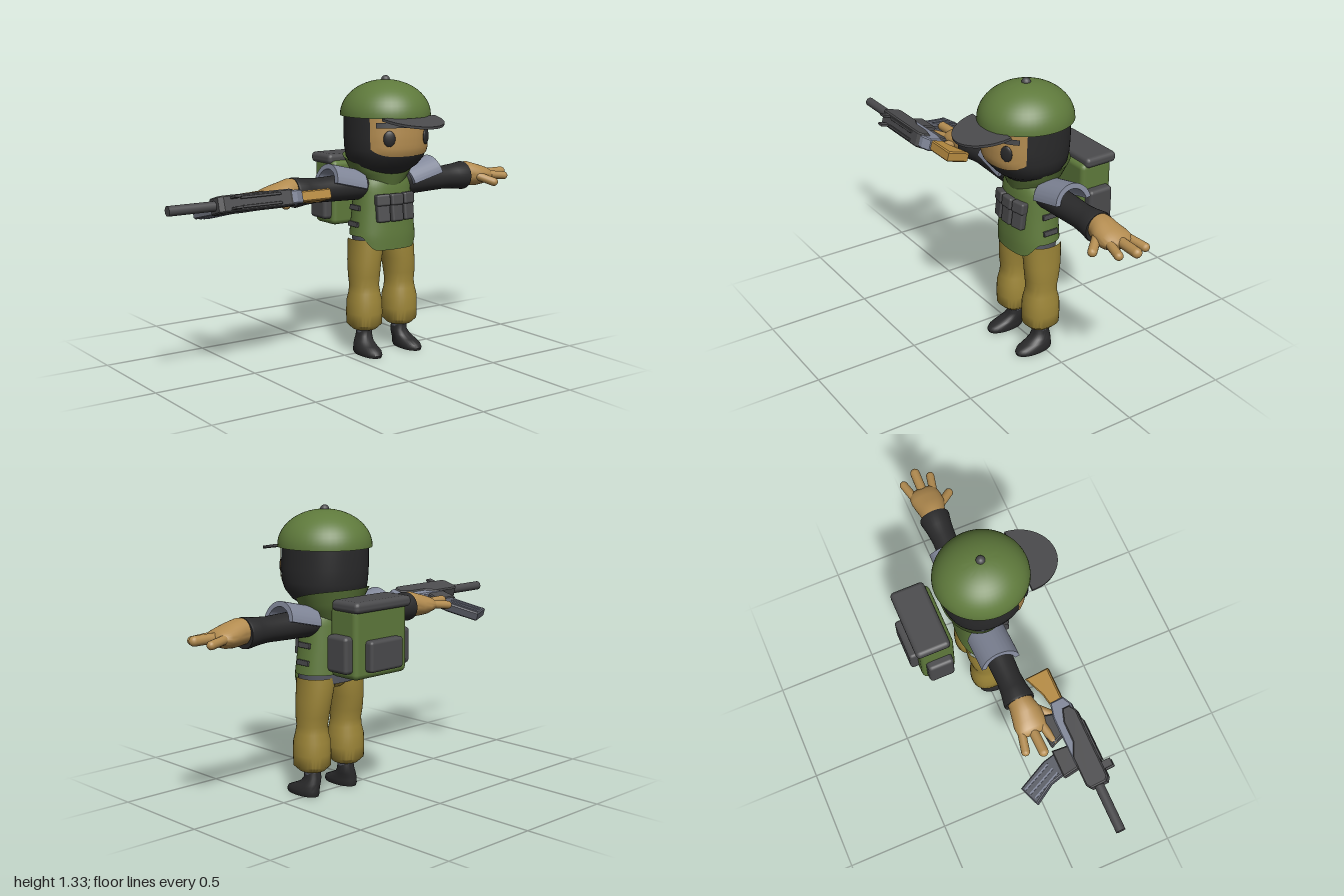
import * as THREE from 'three';
import { toCreasedNormals } from 'three/addons/utils/BufferGeometryUtils.js';
import { RoundedBoxGeometry } from 'three/addons/geometries/RoundedBoxGeometry.js';

const mat = (name, color) => Object.assign(new THREE.MeshStandardMaterial({ color }), { name });

// Surface from a rule fn(u, v) -> [x, y, z]
function grid(fn, nu, nv, crease = 0.8) {
  const pos = [], idx = [];
  for (let j = 0; j <= nv; j++) for (let i = 0; i <= nu; i++) pos.push(...fn(i / nu, j / nv));
  for (let j = 0; j < nv; j++) for (let i = 0; i < nu; i++) {
    const a = j * (nu + 1) + i, b = a + 1, c = a + nu + 1, d = c + 1;
    idx.push(a, b, d, a, d, c);
  }
  const g = new THREE.BufferGeometry();
  g.setAttribute('position', new THREE.Float32BufferAttribute(pos, 3));
  g.setIndex(idx);
  return toCreasedNormals(g, crease);
}

// Cross-section: [y, rx, rz, cz, cx]; angle 0 faces +z, p < 1 squares it off
const pw = (v, p) => Math.sign(v) * Math.abs(v) ** p;
function ring([y, rx, rz, cz = 0, cx = 0], t, p = 1, off = 0) {
  return [cx + (rx + off) * pw(Math.sin(t), p), y, cz + (rz + off) * pw(Math.cos(t), p)];
}
function at(secs, y) {
  let k = 0;
  while (k < secs.length - 2 && y > secs[k + 1][0]) k++;
  const a = secs[k], b = secs[k + 1], f = (y - a[0]) / (b[0] - a[0]);
  return [0, 1, 2, 3].map(n => n ? (a[n] || 0) + ((b[n] || 0) - (a[n] || 0)) * f : y);
}
const loft = (secs, p = 1, n = 32) => grid(
  (u, v) => ring(secs[Math.round(v * (secs.length - 1))], (u * 2 - 1) * Math.PI, p), n, secs.length - 1);
// Part of a lofted surface between two angles, with edges lo(t) and hi(t)
const patch = (secs, p, span, lo, hi, off = 0, nv = 10) => grid((u, v) => {
  const t = (u * 2 - 1) * span, y = lo(t) + (hi(t) - lo(t)) * v;
  return ring(at(secs, y), t, p, off);
}, 48, nv);
const box = (w, h, d, r = 0.01) => new RoundedBoxGeometry(w, h, d, 2, r);
function plate(points, depth, bevel = 0.006) {
  const s = new THREE.Shape(points.map(q => new THREE.Vector2(...q)));
  const d = depth - 2 * bevel;
  return new THREE.ExtrudeGeometry(s, { depth: d, bevelSize: bevel, bevelThickness: bevel, bevelOffset: -bevel, bevelSegments: 1 })
    .translate(0, 0, -d / 2);
}

export function createModel() {
  const green = mat('olive green', 0x5f7a3c), pants = mat('khaki', 0x9c8538), skin = mat('skin', 0xb38c50),
    black = mat('black cloth', 0x2a2a2b), grey = mat('dark grey', 0x4b4b4d), steel = mat('blue grey', 0x82889a),
    wood = mat('wood', 0xb78b40), belt = mat('belt grey', 0x595c66);
  const open = mat('olive cloth', 0x5f7a3c);
  open.side = THREE.DoubleSide;

  const root = new THREE.Group();
  root.name = 'soldier';
  const group = (parent, name, x = 0, y = 0, z = 0) => {
    const g = new THREE.Group();
    g.name = name;
    g.position.set(x, y, z);
    parent.add(g);
    return g;
  };
  const add = (parent, name, geo, m, x = 0, y = 0, z = 0, rx = 0, ry = 0, rz = 0) => {
    const o = new THREE.Mesh(geo, m);
    o.name = name;
    o.position.set(x, y, z);
    o.rotation.set(rx, ry, rz);
    parent.add(o);
    return o;
  };
  const body = group(root, 'body', 0.22);

  // Head with balaclava, face opening, eyes and brow band
  const head = [[0.87, 0, 0, 0.0], [0.872, 0.1, 0.1, 0.01], [0.91, 0.155, 0.15, 0.01], [0.95, 0.18, 0.18, 0.016],
    [0.99, 0.188, 0.192, 0.021], [1.05, 0.191, 0.195, 0.02], [1.15, 0.192, 0.192, 0.018]];
  add(body, 'balaclava', loft(head, 0.92, 48), black);
  const lip = t => 0.965 + 0.035 * Math.min(1, Math.abs(t) / 1.02) ** 4;
  add(body, 'face', patch(head, 0.92, 1.02, lip, () => 1.15, 0.004), skin);
  add(body, 'browBand', patch(head, 0.92, 0.85, () => 1.1, () => 1.125, 0.012, 2), grey);
  for (const s of [-1, 1]) {
    const [x, y, z] = ring(at(head, 1.05), s * 0.54, 0.92, 0.004);
    add(body, 'eye', new THREE.SphereGeometry(1, 20, 14), black, x, y, z, 0, s * 0.5, 0).scale.set(0.028, 0.037, 0.01);
  }

  // Helmet with knob and visor
  const dome = [[1.143, 0, 0, 0.02], [1.143, 0.211, 0.22, 0.02]];
  for (let i = 0; i <= 14; i++) {
    const a = i / 14 * Math.PI / 2;
    dome.push([1.145 + 0.165 * Math.sin(a), 0.211 * Math.cos(a), 0.22 * Math.cos(a), 0.02]);
  }
  add(body, 'helmet', loft(dome, 1, 48), green);
  add(body, 'helmetKnob', new THREE.SphereGeometry(0.021, 16, 12), grey, 0, 1.308, 0.02);
  const brim = new THREE.Shape();
  brim.absellipse(0, 0, 0.153, 0.182, 0, Math.PI);
  add(body, 'visor', new THREE.ExtrudeGeometry(brim, { depth: 0.012, bevelEnabled: false, curveSegments: 24 }),
    grey, 0, 1.147, 0.2, Math.PI / 2 + 0.17);

  // Collar, jacket with a dipped front hem, belt
  const collar = [[0.81, 0.1, 0.1, -0.01], [0.88, 0.15, 0.13, -0.015], [0.97, 0.2, 0.155, -0.02]];
  add(body, 'collar', patch(collar, 1, Math.PI, () => 0.81, t => 0.965 - 0.08 * ((1 + Math.cos(t)) / 2) ** 1.5), open);
  const jacket = [[0.5, 0.165, 0.115], [0.575, 0.168, 0.115], [0.7, 0.153, 0.107, -0.003], [0.82, 0.142, 0.098, -0.005],
    [0.87, 0.115, 0.085, -0.008], [0.9, 0.07, 0.06, -0.01]];
  const dip = t => THREE.MathUtils.smoothstep(Math.cos(t), 0.35, 0.85);
  add(body, 'jacket', patch(jacket, 0.85, Math.PI, t => 0.577 - 0.064 * dip(t), () => 0.9, 0, 16), open);
  add(body, 'belt', loft([[0.53, 0, 0], [0.53, 0.152, 0.098], [0.6, 0.16, 0.106], [0.6, 0, 0]], 0.85), belt);

  // Chest pouches and side straps
  for (const k of [-1, 0, 1]) {
    const p = group(body, 'chestPouch', k * 0.069, 0.71, 0.096 - Math.abs(k) * 0.008);
    p.rotation.set(-0.12, k * 0.22, 0);
    add(p, 'pouch', box(0.065, 0.12, 0.06), grey, 0, -0.004, 0);
    add(p, 'pouchFlap', box(0.07, 0.055, 0.068), grey, 0, 0.04, 0.002);
  }
  for (const s of [-1, 1]) for (const y of [0.71, 0.632])
    add(body, 'sideStrap', box(0.012, 0.025, 0.075, 0.003), grey, s * (0.154 + (0.71 - y) * 0.12), y, -0.008, 0, 0, s * 0.12);

  // Backpack
  const pack = group(body, 'backpack');
  add(pack, 'packBody', box(0.32, 0.315, 0.165, 0.025), green, 0, 0.755, -0.263);
  add(pack, 'packRoll', box(0.34, 0.05, 0.165, 0.02), grey, 0, 0.918, -0.282);
  add(pack, 'backPocket', box(0.2, 0.14, 0.06, 0.015), grey, 0, 0.7, -0.353);
  for (const s of [-1, 1]) add(pack, 'sidePocket', box(0.07, 0.165, 0.125, 0.018), grey, s * 0.165, 0.71, -0.263);

  // Trousers, ankles and boots
  add(body, 'seat', loft([[0.49, 0, 0], [0.505, 0.06, 0.06], [0.53, 0.145, 0.088], [0.57, 0.155, 0.09], [0.57, 0, 0]], 0.9), pants);
  for (const s of [-1, 1]) {
    const leg = group(body, 'leg', s * 0.105);
    add(leg, 'trouserLeg', loft([[0.12, 0, 0], [0.12, 0.055, 0.06], [0.145, 0.081, 0.086], [0.2, 0.083, 0.088], [0.26, 0.081, 0.086],
      [0.3, 0.072, 0.076], [0.335, 0.068, 0.072, -0.002], [0.38, 0.071, 0.08, -0.004], [0.45, 0.074, 0.088, -0.008, -s * 0.005],
      [0.52, 0.08, 0.09, -0.01, -s * 0.014], [0.56, 0.082, 0.088, -0.01, -s * 0.016]], 0.9), pants);
    add(leg, 'ankleBand', new THREE.CylinderGeometry(0.04, 0.037, 0.03, 24), belt, 0, 0.117, 0);
    add(leg, 'boot', loft([[0, 0, 0, 0.045], [0, 0.044, 0.092, 0.048, s * 0.014], [0.012, 0.049, 0.096, 0.048, s * 0.014],
      [0.028, 0.048, 0.091, 0.044, s * 0.013], [0.045, 0.045, 0.07, 0.024, s * 0.011], [0.062, 0.041, 0.052, 0.006, s * 0.006],
      [0.085, 0.038, 0.041, -0.002], [0.112, 0.036, 0.038]], 0.92), black);
  }

  // Arms: built upright, then turned outwards
  for (const s of [-1, 1]) {
    const arm = group(body, 'arm', 0, 0.812, -0.01);
    arm.rotation.z = -s * Math.PI / 2;
    add(arm, 'sleeve', loft([[0.06, 0.05, 0.06], [0.15, 0.064, 0.066], [0.28, 0.06, 0.062], [0.38, 0.057, 0.058], [0.44, 0.062, 0.063],
      [0.495, 0.07, 0.073], [0.506, 0.068, 0.071], [0.506, 0, 0]]), black);
    add(arm, 'palm', loft([[0.49, 0.055, 0.056, 0, -s * 0.01], [0.53, 0.06, 0.062, 0.003, -s * 0.008], [0.57, 0.056, 0.072, 0.006],
      [0.61, 0.048, 0.075, 0.002, s * 0.004], [0.645, 0.036, 0.07, 0, s * 0.004], [0.665, 0.02, 0.055, 0, s * 0.004],
      [0.67, 0, 0, 0, s * 0.004]]), skin);
    // fingers: [start reach, start z, end reach, end z, radius, droop]
    for (const [a, za, b, zb, r, d] of [[0.62, -0.045, 0.725, -0.068, 0.02, 0.012], [0.63, 0, 0.758, 0.004, 0.023, 0],
      [0.62, 0.045, 0.722, 0.068, 0.02, 0.012], [0.555, 0.05, 0.613, 0.118, 0.021, 0.03]]) {
      const from = new THREE.Vector3(0, a, za), to = new THREE.Vector3(s * d, b, zb), dir = to.clone().sub(from);
      const mid = from.clone().lerp(to, 0.5);
      const f = add(arm, 'finger', new THREE.CapsuleGeometry(r, dir.length(), 6, 14), skin, mid.x, mid.y, mid.z);
      f.quaternion.setFromUnitVectors(new THREE.Vector3(0, 1, 0), dir.normalize());
    }
    // Curved shoulder plate
    const arc = new THREE.Shape();
    arc.absarc(0, 0, 0.094, 0.15, Math.PI - 0.15, false);
    arc.absarc(0, 0, 0.07, Math.PI - 0.15, 0.15, true);
    const pad = group(body, 'shoulderPad', s * 0.145, 0.795, -0.018);
    pad.rotation.z = s * 0.24;
    add(pad, 'padPlate', toCreasedNormals(new THREE.ExtrudeGeometry(arc, { depth: 0.175, bevelEnabled: false, curveSegments: 20 }), 0.6),
      steel, 0, 0, 0, 0, s * Math.PI / 2);
  }

  // Rifle lying on its side under the right hand
  const gun = group(root, 'rifle', 0, 0.82, 0.155);
  gun.rotation.x = 1.29;
  add(gun, 'barrel', new THREE.CylinderGeometry(0.022, 0.022, 0.25, 20), grey, -0.875, 0, 0, 0, 0, Math.PI / 2);
  add(gun, 'handguard', plate([[-0.78, -0.035], [-0.76, -0.05], [-0.62, -0.05], [-0.56, -0.02], [-0.46, -0.02], [-0.4, 0.0],
    [-0.4, 0.035], [-0.43, 0.055], [-0.76, 0.055], [-0.78, 0.04]], 0.074), grey);
  add(gun, 'receiver', plate([[-0.66, -0.055], [-0.42, -0.055], [-0.35, -0.04], [-0.35, 0.025], [-0.39, 0.045], [-0.66, 0.045]], 0.062), steel);
  add(gun, 'stock', plate([[-0.37, -0.042], [-0.3, -0.055], [-0.195, -0.097], [-0.195, 0.018], [-0.37, 0.018]], 0.05), wood);
  add(gun, 'grip', plate([[-0.5, -0.04], [-0.4, -0.04], [-0.38, -0.11], [-0.43, -0.13], [-0.53, -0.12]], 0.045), grey);
  add(gun, 'magazineWell', plate([[-0.67, -0.04], [-0.56, -0.04], [-0.55, -0.125], [-0.68, -0.125]], 0.056), grey);
  add(gun, 'magazine', plate([[-0.66, -0.1], [-0.56, -0.1], [-0.575, -0.18], [-0.64, -0.322], [-0.735, -0.285], [-0.68, -0.19]], 0.045), belt);
  for (const k of [-1, 0, 1]) add(gun, 'magazineRib', new THREE.BoxGeometry(0.008, 0.15, 0.052), steel,
    -0.652 + k * 0.027, -0.222 - k * 0.012, 0, 0, 0, -0.4);
  for (const k of [-1, 1]) {
    add(gun, 'frontSight', box(0.035, 0.05, 0.012, 0.003), grey, -0.71, 0.072, k * 0.024);
    add(gun, 'sightRail', box(0.2, 0.012, 0.012, 0.003), grey, -0.58, 0.058, k * 0.02);
  }
  return root;
}
